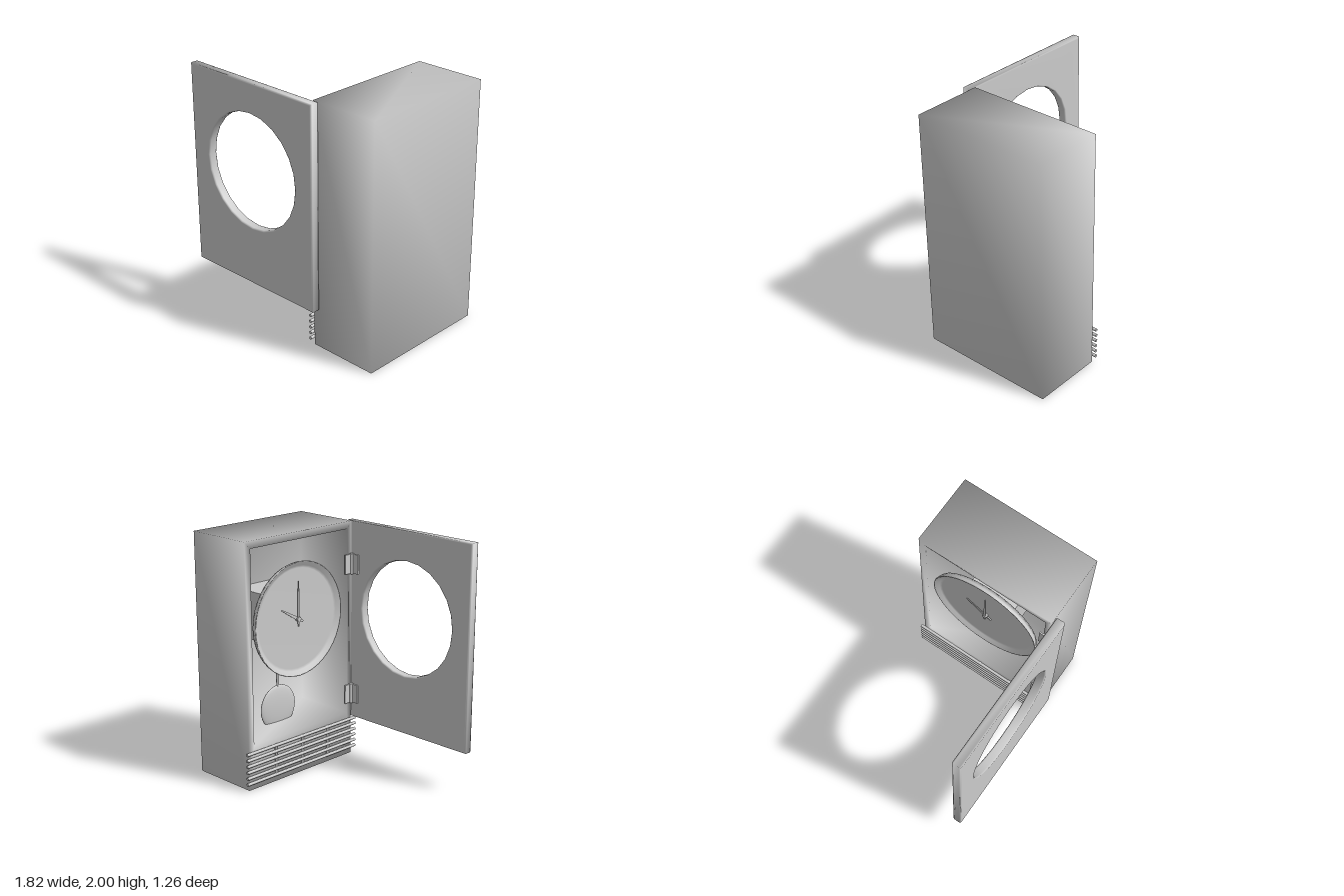
import * as THREE from 'three';
import { mergeVertices } from 'three/addons/utils/BufferGeometryUtils.js';

const MID_Z = -0.025; // centre line of the case
const DIAL_Y = 1.29;

export function createModel() {
  const root = new THREE.Group();
  const grey = new THREE.MeshStandardMaterial({ color: 0xcccccc });

  const add = (name, geo, x = 0, y = 0, z = 0, parent = root) => {
    const mesh = new THREE.Mesh(geo, grey);
    mesh.name = name;
    mesh.position.set(x, y, z);
    parent.add(mesh);
    return mesh;
  };
  const box = (name, sx, sy, sz, x, y, z, parent) =>
    add(name, new THREE.BoxGeometry(sx, sy, sz), x, y, z, parent);
  const rod = (name, r, len, x, y, z, parent) =>
    add(name, new THREE.CylinderGeometry(r, r, len, 12), x, y, z, parent);

  // Case: rectangular loops from the outer back, round the rim, to the inner back
  const loops = [
    [0.905, -0.6, 0.55, 0, 2],
    [0.32, -0.6, 0.55, 0, 2],
    [0.32, -0.54, 0.5, 0.37, 1.94],
    [0.86, -0.54, 0.5, 0.37, 1.94],
  ];
  const pos = [], idx = [];
  loops.forEach(([x, z0, z1, y0, y1], k) => {
    pos.push(x, y0, z0, x, y0, z1, x, y1, z1, x, y1, z0);
    if (k === 0) return;
    for (let i = 0; i < 4; i++) {
      const j = (i + 1) % 4, a = (k - 1) * 4, b = k * 4;
      idx.push(a + i, a + j, b + j, a + i, b + j, b + i);
    }
  });
  idx.push(0, 2, 1, 0, 3, 2, 12, 13, 14, 12, 14, 15);
  const caseGeo = new THREE.BufferGeometry();
  caseGeo.setAttribute('position', new THREE.Float32BufferAttribute(pos, 3));
  caseGeo.setIndex(idx);
  caseGeo.computeVertexNormals();
  add('case', caseGeo);

  // Open door with a round window
  const shape = new THREE.Shape();
  shape.moveTo(-0.91, 0.33);
  shape.lineTo(0.375, 0.33);
  shape.lineTo(0.375, 2);
  shape.lineTo(-0.91, 2);
  shape.closePath();
  const hole = new THREE.Path();
  hole.absarc(-0.268, DIAL_Y, 0.47, 0, Math.PI * 2, true);
  shape.holes.push(hole);
  const bevel = 0.012;
  let doorGeo = new THREE.ExtrudeGeometry(shape, {
    depth: 0.075 - 2 * bevel, curveSegments: 12,
    bevelSize: bevel, bevelThickness: bevel, bevelOffset: -bevel, bevelSegments: 2,
  });
  doorGeo.deleteAttribute('uv');
  doorGeo.deleteAttribute('normal');
  doorGeo = mergeVertices(doorGeo, 1e-4);
  doorGeo.computeVertexNormals();
  add('door', doorGeo, 0, 0, 0.552 + bevel);

  // Hinges: knuckle with one leaf on the case and one on the door
  for (const y of [1.65, 0.54]) {
    const hinge = new THREE.Group();
    hinge.name = 'hinge';
    hinge.position.set(0.31, y, 0.54);
    root.add(hinge);
    rod('hingeKnuckle', 0.017, 0.17, 0, 0, 0, hinge);
    box('hingeCaseLeaf', 0.012, 0.16, 0.07, 0.004, 0, -0.035, hinge);
    box('hingeDoorLeaf', 0.07, 0.16, 0.012, -0.035, 0, 0.006, hinge);
  }

  // Grille: six horizontal bars joined by three uprights
  for (let i = 0; i < 6; i++) {
    rod('grilleBar', 0.0125, 1.215, 0.3075, 0.062 + i * 0.05, -0.0225).rotation.x = Math.PI / 2;
  }
  for (const dz of [-0.29, 0, 0.29]) {
    box('grilleUpright', 0.014, 0.27, 0.02, 0.314, 0.187, MID_Z + dz);
  }

  // Dished dial facing -x
  const profile = [[0, -0.05], [0.45, -0.05], [0.465, -0.02], [0.47, 0], [0.462, 0.002],
    [0.43, -0.022], [0.41, -0.028], [0, -0.028]].map(([r, h]) => new THREE.Vector2(r, h));
  add('dial', new THREE.LatheGeometry(profile, 40), 0.335, DIAL_Y, MID_Z).rotation.z = Math.PI / 2;

  // Tapered hands, turned clockwise as seen from the dial side
  const hand = (name, length, tail, w, x, angle) => {
    const s = new THREE.Shape();
    s.moveTo(-w * 0.6, -tail);
    s.lineTo(w * 0.6, -tail);
    s.lineTo(w, 0);
    s.lineTo(w * 0.3, length);
    s.lineTo(-w * 0.3, length);
    s.lineTo(-w, 0);
    s.closePath();
    const geo = new THREE.ExtrudeGeometry(s, { depth: 0.006, bevelEnabled: false });
    geo.rotateZ(-angle);
    geo.rotateY(-Math.PI / 2);
    add(name, geo, x, DIAL_Y, MID_Z);
  };
  hand('minuteHand', 0.31, 0.06, 0.012, 0.346, 0);
  hand('hourHand', 0.2, 0.06, 0.015, 0.354, -Math.PI / 3);
  rod('handHub', 0.02, 0.04, 0.354, DIAL_Y, MID_Z).rotation.z = Math.PI / 2;

  // Movement behind the dial, and the pendulum hanging from it
  box('movement', 0.475, 0.4, 0.4, 0.6225, DIAL_Y, MID_Z);
  rod('pendulumRod', 0.012, 0.75, 0.6, 0.82, MID_Z);
  const bob = add('pendulumBob', new THREE.SphereGeometry(0.19, 32, 16), 0.6, 0.565, MID_Z);
  bob.scale.set(0.15, 1, 1);
  bob.position.y = 0.375 + 0.19 * 0.6;

  return root;
}
